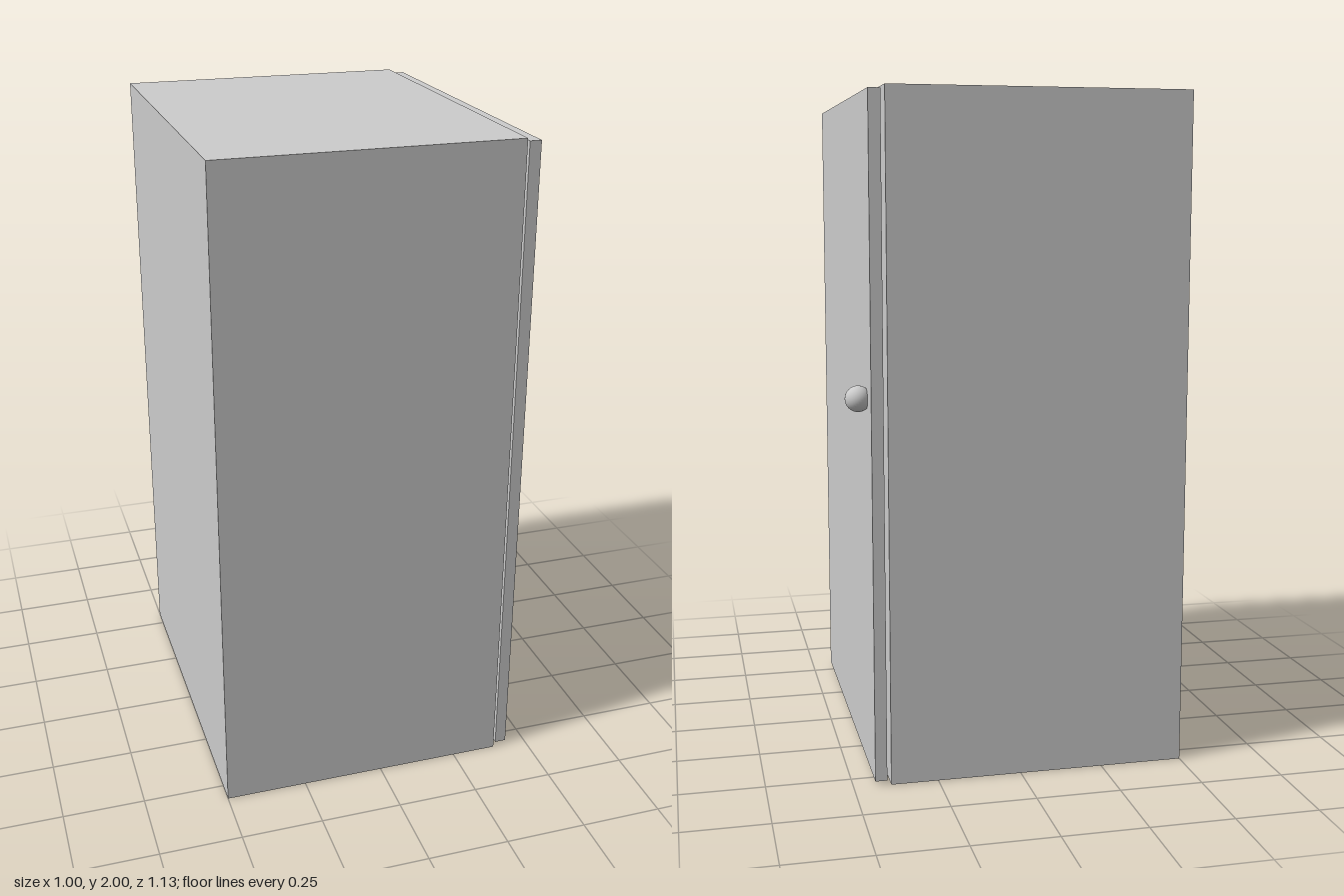
import * as THREE from 'three';

export function createModel() {
  const model = new THREE.Group();
  const material = new THREE.MeshStandardMaterial({ color: 0xcccccc });

  function add(name, geometry, x, y, z) {
    const mesh = new THREE.Mesh(geometry, material);
    mesh.name = name;
    mesh.position.set(x, y, z);
    model.add(mesh);
  }

  // Cabinet body
  add('cabinet', new THREE.BoxGeometry(0.89, 2, 1.13), -0.055, 1, 0);

  // Door panel, standing just clear of the +x side
  add('door', new THREE.BoxGeometry(0.035, 1.98, 1.112), 0.418, 1, 0);

  // Round knob partly sunk into the door
  add('knob', new THREE.SphereGeometry(0.038, 32, 20), 0.459, 1.125, -0.456);

  return model;
}
